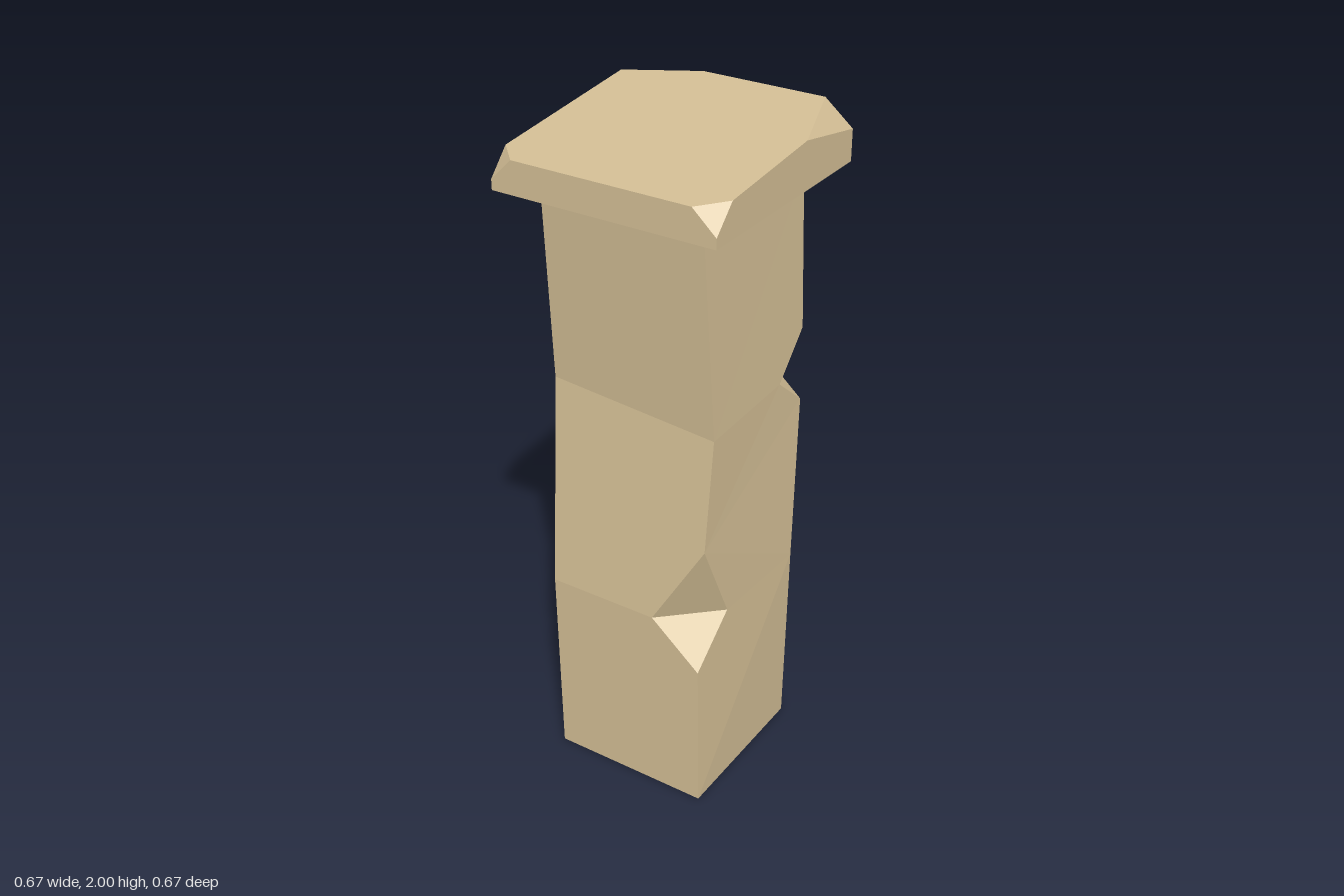
import * as THREE from 'three';
import { ConvexGeometry } from 'three/addons/geometries/ConvexGeometry.js';

const stone = new THREE.MeshStandardMaterial({ color: 0xd2bd94, flatShading: true });
const V = (x, y, z) => new THREE.Vector3(x, y, z);

// Shaft: four rings of corners, each ordered front right, back right, back left, front left (as seen from the front)
const rings = [
  [V(0.245, 0, 0.248), V(0.245, 0, -0.245), V(-0.248, 0, -0.245), V(-0.248, 0, 0.248)],
  [V(0.243, 0.615, 0.257), V(0.265, 0.62, -0.225), V(-0.25, 0.66, -0.235), V(-0.25, 0.615, 0.258)],
  [V(0.253, 1.22, 0.2), V(0.255, 1.24, -0.265), V(-0.262, 1.27, -0.262), V(-0.263, 1.26, 0.198)],
  [V(0.245, 1.84, 0.248), V(0.245, 1.84, -0.245), V(-0.248, 1.84, -0.245), V(-0.248, 1.84, 0.248)],
];

// Chipped corners, keyed "level,corner": how far the chip runs along each edge
const chips = {
  '1,0': { up: 0.44, down: 0.22, right: 0.305, left: 0.31 },
  '2,1': { up: 0.2, down: 0.17, right: 0.26, left: 0.27 },
  '1,2': { up: 0.46, down: 0.33, right: 0.22, left: 0.26 },
};

function chipPoint(level, corner, dir) {
  const dl = { up: 1, down: -1 }[dir] || 0;
  const dc = { right: 1, left: 3 }[dir] || 0;
  const target = rings[level + dl][(corner + dc) % 4];
  return rings[level][corner].clone().lerp(target, chips[`${level},${corner}`][dir]);
}

function createShaft() {
  const positions = [];
  const addFace = (points) => {
    for (let i = 1; i < points.length - 1; i++) {
      for (const p of [points[0], points[i], points[i + 1]]) positions.push(p.x, p.y, p.z);
    }
  };
  // A face corner is one point, or two where it is chipped
  const cornerPoints = (level, corner, a, b) =>
    chips[`${level},${corner}`]
      ? [chipPoint(level, corner, a), chipPoint(level, corner, b)]
      : [rings[level][corner]];

  // Side panels
  for (let l = 0; l < 3; l++) {
    for (let c = 0; c < 4; c++) {
      const n = (c + 1) % 4;
      addFace([
        ...cornerPoints(l, c, 'up', 'right'),
        ...cornerPoints(l, n, 'left', 'up'),
        ...cornerPoints(l + 1, n, 'down', 'left'),
        ...cornerPoints(l + 1, c, 'right', 'down'),
      ]);
    }
  }
  // Two sloping facets inside each chip
  for (const key of Object.keys(chips)) {
    const [l, c] = key.split(',').map(Number);
    const [up, down, left, right] = ['up', 'down', 'left', 'right'].map((d) => chipPoint(l, c, d));
    addFace([left, right, up]);
    addFace([left, down, right]);
  }
  // Ends
  addFace([...rings[0]].reverse());
  addFace(rings[3]);

  const geometry = new THREE.BufferGeometry();
  geometry.setAttribute('position', new THREE.Float32BufferAttribute(positions, 3));
  geometry.computeVertexNormals();
  return geometry;
}

// Capstone: square slab with a sloping top and four broken corners
function createCap() {
  const h = 0.335;
  const topY = (z) => 1.967 - 0.098 * z;
  const corners = [
    { sx: 1, sz: 1, cutX: 0.07, cutZ: 0.07, low: 1.87 },
    { sx: -1, sz: 1, cutX: 0.065, cutZ: 0.065, low: 1.87 },
    { sx: 1, sz: -1, cutX: 0.085, cutZ: 0.245, low: 1.93 },
    { sx: -1, sz: -1, cutX: 0.21, cutZ: 0.09, low: 1.91 },
  ];
  const points = [];
  for (const { sx, sz, cutX, cutZ, low } of corners) {
    const x = sx * h, z = sz * h, zCut = sz * (h - cutZ);
    points.push(V(x, 1.84, z), V(x, low, z));
    points.push(V(sx * (h - cutX), topY(z), z), V(x, topY(zCut), zCut));
  }
  return new ConvexGeometry(points);
}

export function createModel() {
  const model = new THREE.Group();
  model.name = 'stonePillar';
  const add = (name, geometry) => {
    const mesh = new THREE.Mesh(geometry, stone);
    mesh.name = name;
    model.add(mesh);
  };
  add('shaft', createShaft());
  add('capstone', createCap());
  return model;
}
